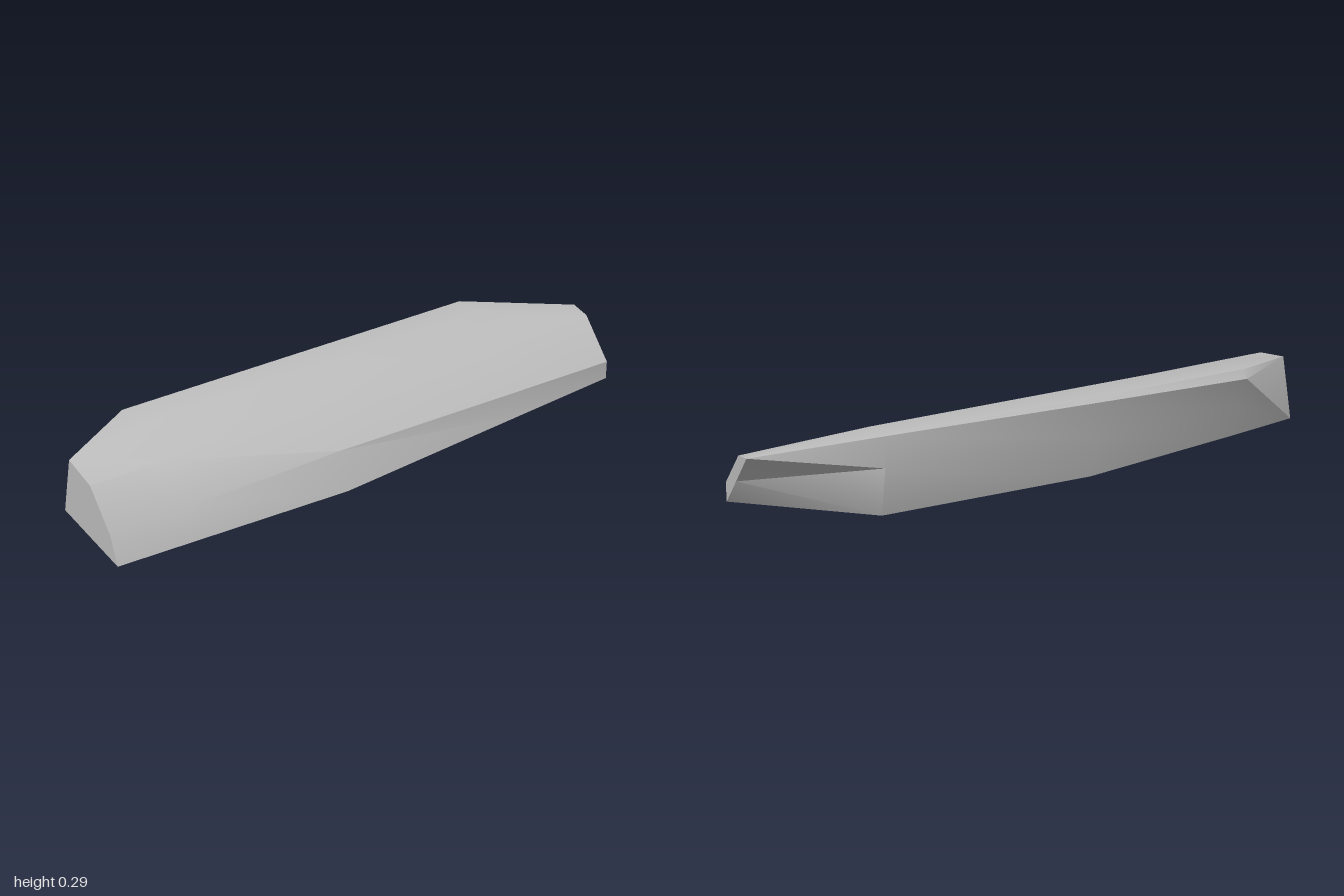
import * as THREE from 'three';
import { toCreasedNormals } from 'three/addons/utils/BufferGeometryUtils.js';

// Cross-sections along x; each ring of [z, y] climbs the front, crosses the top and drops down the back
const sections = [
  { x: -1, ring: [[0.243, 0.03], [0.205, 0.12], [0.088, 0.237], [-0.05, 0.26], [-0.05, 0.26], [-0.05, 0.26], [-0.107, 0.05], [-0.107, 0.05]] },
  { x: -0.74, ring: [[0.235, 0.021], [0.194, 0.122], [0.075, 0.236], [-0.075, 0.292], [-0.19, 0.292], [-0.212, 0.264], [-0.172, 0.155], [-0.133, 0.037]] },
  { x: -0.15, ring: [[0.216, 0], [0.17, 0.128], [0.045, 0.232], [-0.099, 0.292], [-0.21, 0.292], [-0.224, 0.276], [-0.215, 0.16], [-0.188, 0.011]] },
  { x: 0.61, ring: [[0.149, 0.02], [0.134, 0.106], [0.009, 0.227], [-0.13, 0.292], [-0.235, 0.292], [-0.235, 0.292], [-0.242, 0.19], [-0.208, 0.022]] },
  { x: 1, ring: [[0.115, 0.03], [0.115, 0.095], [-0.01, 0.225], [-0.08, 0.237], [-0.08, 0.237], [-0.08, 0.237], [0.02, 0.13], [0.115, 0.03]] },
];

function loft() {
  const rings = sections.map(({ x, ring }) => ring.map(([z, y]) => new THREE.Vector3(x, y, z)));
  const points = [];
  const tri = (a, b, c) => {
    // merged corners leave empty triangles, which are skipped
    if (new THREE.Triangle(a, b, c).getArea() > 1e-6) points.push(a, b, c);
  };
  const n = rings[0].length;
  for (let i = 0; i < rings.length - 1; i++) {
    for (let j = 0; j < n; j++) {
      const k = (j + 1) % n;
      const a = rings[i][j], b = rings[i + 1][j], c = rings[i][k], d = rings[i + 1][k];
      tri(a, b, c);
      tri(b, d, c);
    }
  }
  // flat end caps
  const first = rings[0], last = rings[rings.length - 1];
  for (let j = 1; j < n - 1; j++) {
    tri(first[0], first[j], first[j + 1]);
    tri(last[0], last[j + 1], last[j]);
  }
  return toCreasedNormals(new THREE.BufferGeometry().setFromPoints(points), 0.5);
}

export function createModel() {
  const model = new THREE.Group();
  model.name = 'taperedBar';
  const grey = new THREE.MeshStandardMaterial({ color: 0xbfbfbf });
  grey.name = 'lightGrey';
  const body = new THREE.Mesh(loft(), grey);
  body.name = 'body';
  model.add(body);
  return model;
}
